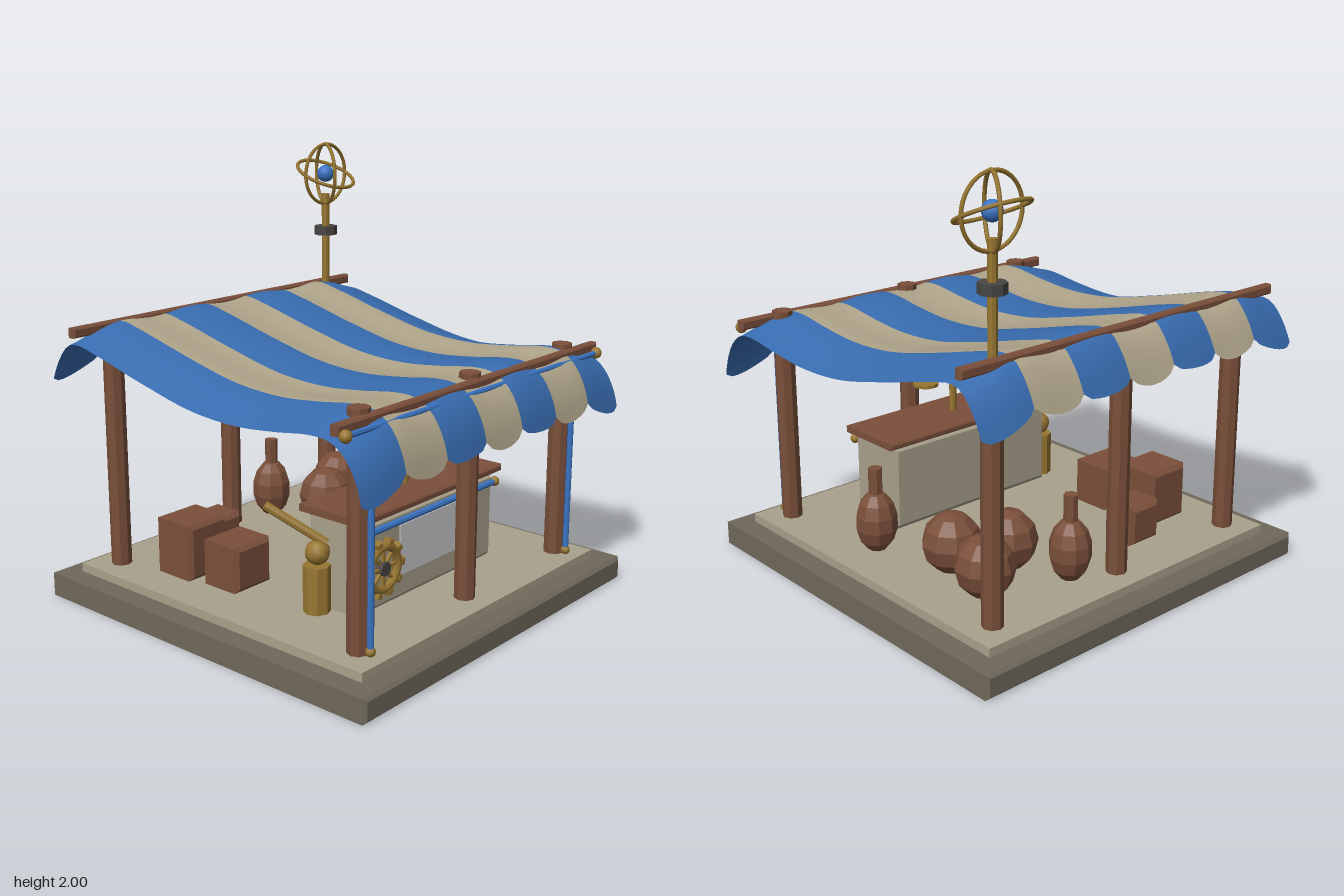
import * as THREE from 'three';

const mat = (name, color, side = THREE.FrontSide) => {
  const m = new THREE.MeshStandardMaterial({ color, side });
  m.name = name;
  return m;
};

export function createModel() {
  const root = new THREE.Group();
  root.name = 'marketStall';

  const stone = mat('darkStone', 0x6f685b);
  const plaster = mat('plaster', 0xa9a18b);
  const wood = mat('wood', 0x7a4f3a);
  const brass = mat('brass', 0x977631);
  const blue = mat('blueTrim', 0x3a74c4);
  const blueCloth = mat('blueCloth', 0x386cb0, THREE.DoubleSide);
  const creamCloth = mat('creamCloth', 0xb0a58b, THREE.DoubleSide);
  const paper = mat('paper', 0xcbcbcd);
  const iron = mat('iron', 0x474644);

  const add = (name, geo, material, x = 0, y = 0, z = 0, parent = root) => {
    const m = new THREE.Mesh(geo, material);
    m.name = name;
    m.position.set(x, y, z);
    parent.add(m);
    return m;
  };
  const flat = (geo) => {
    const g = geo.index ? geo.toNonIndexed() : geo;
    g.computeVertexNormals();
    return g;
  };
  const cyl = (r, h, n = 8, r2 = r) => flat(new THREE.CylinderGeometry(r, r2, h, n));
  const ball = (r, w = 10, h = 8) => new THREE.SphereGeometry(r, w, h);
  // Box with chamfered edges, centred on the origin
  const bevelBox = (w, h, d, b) => {
    const s = new THREE.Shape();
    const x = w / 2 - b, y = h / 2 - b;
    s.moveTo(-x, -y).lineTo(x, -y).lineTo(x, y).lineTo(-x, y).closePath();
    const g = new THREE.ExtrudeGeometry(s, {
      depth: d - 2 * b, bevelEnabled: true, bevelSize: b, bevelThickness: b, bevelSegments: 1,
    });
    return flat(g.translate(0, 0, -(d - 2 * b) / 2));
  };
  // Straight rod between two points
  const rod = (name, a, b, r, material, n = 8) => {
    const p = new THREE.Vector3(...a), q = new THREE.Vector3(...b);
    const m = add(name, cyl(r, p.distanceTo(q), n), material);
    m.position.copy(p).lerp(q, 0.5);
    m.quaternion.setFromUnitVectors(new THREE.Vector3(0, 1, 0), q.sub(p).normalize());
    return m;
  };

  // Platform
  add('platform', bevelBox(1.9, 0.11, 1.9, 0.014), stone, 0, 0.055, 0);
  add('floor', new THREE.BoxGeometry(1.7, 0.045, 1.7), plaster, 0, 0.1275, 0);

  // Posts and rails
  for (const x of [-0.72, 0, 0.72]) {
    for (const z of [-0.72, 0.72]) add('post', cyl(0.047, 1.015), wood, x, 0.6575, z);
  }
  add('frontRail', bevelBox(1.84, 0.045, 0.045, 0.008), wood, 0, 1.122, 0.765);
  add('backRail', bevelBox(1.84, 0.045, 0.045, 0.008), wood, 0, 1.268, -0.757);

  // Blue pipes with brass ends
  rod('frontPipe', [-0.89, 1.1, 0.8], [0.89, 1.1, 0.8], 0.013, blue);
  for (const s of [-1, 1]) {
    add('pipeEnd', ball(0.027), brass, s * 0.89, 1.1, 0.8);
    rod('postPipe', [s * 0.72, 0.17, 0.785], [s * 0.72, 1.1, 0.785], 0.014, blue);
    add('pipeFoot', ball(0.022), brass, s * 0.72, 0.172, 0.785);
  }

  // Striped canopy: each stripe follows the sagging profile from front hem to back hem
  const profile = new THREE.CatmullRomCurve3([
    [0.915, 0.875], [0.885, 0.99], [0.83, 1.085], [0.755, 1.138], [0.66, 1.147], [0.46, 1.122],
    [0.25, 1.105], [0, 1.12], [-0.28, 1.18], [-0.6, 1.262], [-0.72, 1.285], [-0.78, 1.27],
    [-0.85, 1.19], [-0.91, 1.065],
  ].map(([z, y]) => new THREE.Vector3(0, y, z)));
  const width = 1.846 / 7;
  for (let i = 0; i < 7; i++) {
    const g = new THREE.PlaneGeometry(1, 1, 8, 56);
    const pos = g.attributes.position, uv = g.attributes.uv;
    for (let k = 0; k < pos.count; k++) {
      const u = uv.getX(k), trim = 0.021 * (1 - Math.sqrt(Math.max(0, Math.sin(Math.PI * u))));
      const p = profile.getPointAt(trim + (1 - 2 * trim) * uv.getY(k));
      const x = -0.923 + (i + u) * width;
      const edge = Math.max(0, (Math.abs(x) - 0.6) / 0.323);
      const ripple = 0.008 * Math.cos(2 * Math.PI * (Math.abs(x) - 0.23) / 0.46);
      pos.setXYZ(k, x, p.y - 0.055 * edge ** 1.5 + ripple, p.z);
    }
    g.computeVertexNormals();
    add('canopyStripe', g, i % 2 ? creamCloth : blueCloth);
  }

  // Counter
  add('counterBody', bevelBox(0.96, 0.42, 0.3, 0.028), plaster, 0, 0.36, 0.38);
  add('counterTop', bevelBox(1.02, 0.032, 0.35, 0.008), wood, 0, 0.584, 0.38);
  add('notice', new THREE.BoxGeometry(0.445, 0.23, 0.008), paper, 0, 0.385, 0.533);
  rod('counterPipe', [-0.465, 0.525, 0.545], [0.465, 0.525, 0.545], 0.015, blue);
  for (const s of [-1, 1]) add('counterPipeEnd', ball(0.023), brass, s * 0.465, 0.525, 0.545);

  // Gear wheel on the counter front
  const gear = new THREE.Group();
  gear.name = 'gearWheel';
  gear.position.set(-0.355, 0.348, 0.55);
  root.add(gear);
  add('gearRim', new THREE.TorusGeometry(0.096, 0.02, 6, 24), brass, 0, 0, 0, gear);
  for (let i = 0; i < 10; i++) {
    const a = (i / 10) * Math.PI * 2;
    const t = add('gearTooth', bevelBox(0.028, 0.036, 0.036, 0.005), brass,
      Math.cos(a) * 0.118, Math.sin(a) * 0.118, 0, gear);
    t.rotation.z = a;
  }
  for (let i = 0; i < 4; i++) {
    add('gearSpoke', new THREE.BoxGeometry(0.18, 0.012, 0.014), brass, 0, 0, 0, gear).rotation.z = (i * Math.PI) / 4;
  }
  add('gearHub', cyl(0.032, 0.036, 10), iron, 0, 0, 0, gear).rotation.x = Math.PI / 2;

  // Balance scales on the counter
  add('scalesPillar', cyl(0.017, 0.275), brass, 0, 0.7375, 0.38);
  add('scalesBeam', new THREE.BoxGeometry(0.345, 0.016, 0.022), brass, 0, 0.87, 0.38);
  for (const s of [-1, 1]) add('scalesPan', cyl(0.061, 0.015, 12), brass, s * 0.165, 0.77, 0.38);

  // Spyglass on a stand
  add('spyglassStand', cyl(0.06, 0.21), brass, -0.53, 0.255, 0.33);
  add('spyglassJoint', ball(0.055), brass, -0.525, 0.415, 0.33);
  rod('spyglassTube', [-0.5, 0.455, 0.36], [-0.65, 0.615, 0.145], 0.02, brass);

  // Round sacks
  for (const [x, z] of [[0.53, -0.24], [0.575, -0.51], [0.33, -0.38]]) {
    const g = flat(ball(0.135, 9, 6).scale(1, 1.03, 1));
    add('sack', g, wood, x, 0.288, z);
  }
  // Jars with necks
  for (const [x, z] of [[0.65, 0.14], [0.21, -0.645]]) {
    add('jarBody', flat(ball(0.096, 9, 7).scale(1, 1.52, 1)), wood, x, 0.295, z);
    add('jarNeck', cyl(0.032, 0.13, 7), wood, x, 0.485, z);
  }
  // Crates
  for (const [x, z, w, h] of [[-0.31, -0.52, 0.18, 0.18], [-0.53, -0.15, 0.22, 0.21], [-0.56, -0.41, 0.23, 0.26]]) {
    add('crate', bevelBox(w, h, w, 0.018), wood, x, 0.15 + h / 2, z);
  }

  // Mast with an armillary globe
  add('mast', cyl(0.02, 0.6), brass, 0.715, 1.44, -0.72);
  add('mastCollar', cyl(0.059, 0.045), iron, 0.715, 1.552, -0.72);
  add('globeCore', ball(0.043, 14, 10), blue, 0.715, 1.842, -0.72);
  for (const [rx, ry] of [[0, 0], [0, Math.PI / 3], [-1.16, 0]]) {
    const ring = add('globeRing', new THREE.TorusGeometry(0.15, 0.009, 6, 36), brass, 0.715, 1.841, -0.72);
    ring.rotation.set(rx, ry, 0);
  }
  return root;
}
